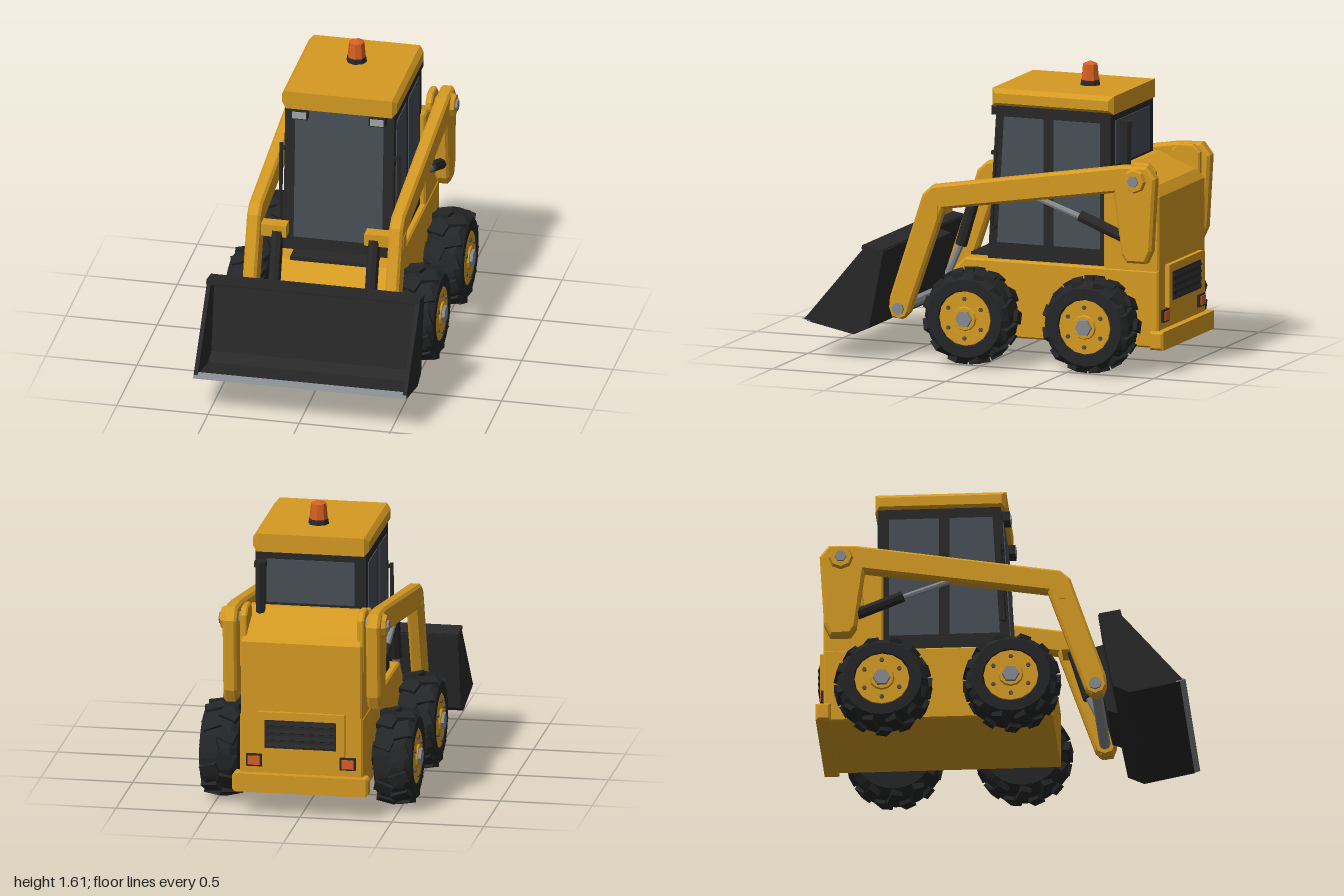
import * as THREE from 'three';

const mat = (name, color) => {
  const m = new THREE.MeshStandardMaterial({ color });
  m.name = name;
  return m;
};

export function createModel() {
  const yellow = mat('yellow paint', 0xd59a22);
  const black = mat('black metal', 0x282828);
  const rubber = mat('tyre rubber', 0x242526);
  const glass = mat('tinted glass', 0x474f56);
  const steel = mat('steel', 0x868b90);
  const lamp = mat('pale lamp', 0xa3a8ac);
  const orange = mat('orange lens', 0xd65f22);
  const bolt = mat('dark bolt', 0x55524a);

  const model = new THREE.Group();
  model.name = 'workVehicle';

  // Facet every face for the low-poly look
  const flat = (g) => {
    const f = g.index ? g.toNonIndexed() : g;
    f.computeVertexNormals();
    return f;
  };
  const add = (name, geo, material, parent = model) => {
    const m = new THREE.Mesh(flat(geo), material);
    m.name = name;
    parent.add(m);
    return m;
  };
  // Box given by its centre and size
  const box = (name, material, [x, y, z], [w, h, d]) => {
    const m = add(name, new THREE.BoxGeometry(w, h, d), material);
    m.position.set(x, y, z);
    return m;
  };
  // Side profile of (z, y) points, extruded across x and centred on x
  const slab = (name, material, pts, x, width, bevel = 0) => {
    const shape = new THREE.Shape(pts.map(([z, y]) => new THREE.Vector2(z, y)));
    const g = new THREE.ExtrudeGeometry(shape, {
      depth: width - 2 * bevel, bevelEnabled: bevel > 0, bevelSegments: 1,
      bevelSize: bevel, bevelThickness: bevel, bevelOffset: -bevel,
    });
    g.translate(0, 0, bevel - width / 2);
    g.rotateY(-Math.PI / 2);
    add(name, g, material).position.x = x;
  };
  // Round bar between two points
  const rod = (name, material, a, b, r, sides = 8, r2 = r, parent = model) => {
    const p = new THREE.Vector3(...a), q = new THREE.Vector3(...b);
    const dir = q.clone().sub(p);
    const m = add(name, new THREE.CylinderGeometry(r2, r, dir.length(), sides), material, parent);
    m.position.copy(p).add(q).multiplyScalar(0.5);
    m.quaternion.setFromUnitVectors(new THREE.Vector3(0, 1, 0), dir.normalize());
  };

  // Chassis, engine hood and rear bumper
  slab('chassis', yellow, [[0.27, 0.13], [0.27, 0.44], [0.16, 0.55], [-0.96, 0.55], [-0.96, 0.13]], 0, 0.67, 0.01);
  slab('engineHood', yellow, [[-0.64, 0.53], [-0.64, 1.08], [-0.7, 1.08], [-0.92, 1.0],
    [-0.96, 0.95], [-0.96, 0.53]], 0, 0.66, 0.01);
  slab('rearBumper', yellow, [[-0.92, 0.125], [-0.92, 0.225], [-1, 0.225], [-1, 0.125]], 0, 0.74, 0.012);
  box('frontStep', black, [0, 0.555, 0.112], [0.47, 0.02, 0.105]);

  // Rear grille and tail lamps
  box('grilleFrame', yellow, [0, 0.455, -0.97], [0.48, 0.23, 0.03]);
  box('grillePanel', black, [0, 0.45, -0.986], [0.39, 0.155, 0.008]);
  for (let i = 0; i < 4; i++) {
    const slat = box('grilleSlat', black, [0, 0.392 + i * 0.039, -0.99], [0.38, 0.022, 0.012]);
    slat.rotation.x = 0.4;
  }
  for (const s of [-1, 1]) {
    box('tailLampHousing', black, [s * 0.255, 0.297, -0.965], [0.085, 0.068, 0.02]);
    box('tailLamp', orange, [s * 0.255, 0.297, -0.977], [0.065, 0.05, 0.008]);
  }

  // Cab frame and windows
  slab('cabFrame', black, [[0.04, 0.545], [-0.01, 1.385], [-0.67, 1.385], [-0.67, 0.545]], 0, 0.6);
  const windshield = box('windshield', glass, [0, 0.995, 0.0155], [0.485, 0.74, 0.008]);
  windshield.rotation.x = -0.0595;
  box('rearWindow', glass, [0, 1.215, -0.672], [0.48, 0.24, 0.008]);
  for (const s of [-1, 1]) {
    slab('frontSideWindow', glass, [[-0.015, 0.64], [-0.055, 1.325], [-0.285, 1.325], [-0.285, 0.64]], s * 0.301, 0.008);
    slab('rearSideWindow', glass, [[-0.342, 0.64], [-0.342, 1.325], [-0.61, 1.325], [-0.61, 0.64]], s * 0.301, 0.008);
    // Grab rails and work lamps
    rod('grabRail', black, [s * 0.322, 0.7, 0.01], [s * 0.322, 1.15, -0.015], 0.011, 6);
    for (const y of [0.72, 1.13]) box('railMount', black, [s * 0.31, y, 0], [0.035, 0.02, 0.02]);
    box('workLampHousing', black, [s * 0.213, 1.349, 0.012], [0.09, 0.052, 0.046]);
    box('workLamp', lamp, [s * 0.213, 1.349, 0.037], [0.075, 0.038, 0.006]);
  }

  // Roof with chamfered edges
  slab('roof', yellow, [[0.018, 1.375], [0.018, 1.475], [-0.685, 1.475], [-0.685, 1.375]], 0, 0.63, 0.024);

  // Beacon and exhaust
  rod('beaconBase', black, [0, 1.47, -0.43], [0, 1.503, -0.43], 0.057, 8, 0.052);
  rod('beaconLens', orange, [0, 1.503, -0.43], [0, 1.588, -0.43], 0.05, 8, 0.042);
  rod('beaconTop', orange, [0, 1.588, -0.43], [0, 1.603, -0.43], 0.042, 8, 0.008);
  rod('exhaustPipe', black, [0.26, 1.03, -0.745], [0.26, 1.315, -0.745], 0.027, 6);
  rod('exhaustCap', black, [0.26, 1.31, -0.745], [0.26, 1.342, -0.745], 0.036, 6);

  // Lift arms, pivots and cylinders
  const armProfile = [[0.565, 0.265], [0.56, 0.32], [0.37, 0.895], [0.315, 0.945], [-0.78, 1.125],
    [-0.925, 1.13], [-0.975, 1.065], [-0.952, 0.67], [-0.92, 0.6], [-0.81, 0.6], [-0.78, 0.645],
    [-0.735, 0.975], [0.25, 0.82], [0.45, 0.24], [0.485, 0.205], [0.545, 0.21]];
  const towerProfile = [[-0.74, 0.8], [-0.775, 1.09], [-0.81, 1.13], [-0.9, 1.13], [-0.94, 1.09], [-0.94, 0.8]];
  for (const s of [-1, 1]) {
    slab('liftArm', yellow, armProfile, s * 0.39, 0.075, 0.014);
    slab('pivotTower', yellow, towerProfile, s * 0.318, 0.038, 0.008);
    rod('pivotShaft', steel, [s * 0.3, 1.05, -0.86], [s * 0.4, 1.05, -0.86], 0.04);
    rod('pivotHub', yellow, [s * 0.42, 1.05, -0.86], [s * 0.45, 1.05, -0.86], 0.07, 8, 0.058);
    rod('pivotBolt', steel, [s * 0.44, 1.05, -0.86], [s * 0.462, 1.05, -0.86], 0.032, 6);
    rod('liftRod', steel, [s * 0.385, 0.92, -0.26], [s * 0.385, 0.815, -0.56], 0.017);
    rod('liftBarrel', black, [s * 0.385, 0.832, -0.53], [s * 0.385, 0.735, -0.775], 0.032);

    // Bucket tilt cylinder with its bracket, and the arm foot
    box('tiltBracket', yellow, [s * 0.322, 0.805, 0.318], [0.215, 0.068, 0.075]);
    rod('tiltBarrel', black, [s * 0.265, 0.8, 0.335], [s * 0.265, 0.5, 0.425], 0.034);
    rod('tiltRod', steel, [s * 0.265, 0.53, 0.415], [s * 0.265, 0.34, 0.5], 0.02);
    rod('armFootHub', yellow, [s * 0.34, 0.263, 0.505], [s * 0.43, 0.263, 0.505], 0.052);
    rod('armFootPin', steel, [s * 0.42, 0.263, 0.505], [s * 0.444, 0.263, 0.505], 0.034);
  }

  // Bucket: coupler, shell, cutting edge, end plates and top lip
  rod('couplerShaft', steel, [-0.43, 0.263, 0.505], [0.43, 0.263, 0.505], 0.03);
  slab('couplerPlate', black, [[0.535, 0.59], [0.465, 0.57], [0.555, 0.2], [0.615, 0.18]], 0, 0.44);
  slab('bucketShell', black, [[0.65, 0.62], [0.53, 0.598], [0.612, 0.175], [0.7, 0.135], [0.97, 0.19],
    [0.96, 0.213], [0.71, 0.165], [0.635, 0.195], [0.562, 0.578], [0.65, 0.594]], 0, 1.165);
  slab('cuttingEdge', steel, [[1, 0.203], [0.95, 0.186], [0.945, 0.214], [0.955, 0.222]], 0, 1.167);
  for (const s of [-1, 1]) {
    slab('bucketEnd', black, [[0.64, 0.612], [0.54, 0.596], [0.615, 0.175], [0.7, 0.137], [0.985, 0.202]],
      s * 0.573, 0.022);
  }
  slab('bucketTopLip', black, [[0.655, 0.605], [0.65, 0.625], [0.535, 0.605], [0.54, 0.585]], 0, 1.172);

  // Wheels: tyre, staggered lugs, rim and bolts (built with the outside on +x)
  const tyreProfile = [[0, 0], [0.21, 0], [0.243, 0.035], [0.243, 0.17], [0.212, 0.205], [0.152, 0.205],
    [0.147, 0.19], [0, 0.19]].map(([r, h]) => new THREE.Vector2(r, h));
  const makeWheel = () => {
    const w = new THREE.Group();
    w.name = 'wheel';
    const tyre = new THREE.LatheGeometry(tyreProfile, 24);
    tyre.rotateZ(-Math.PI / 2);
    tyre.translate(-0.1, 0, 0);
    add('tyre', tyre, rubber, w);
    for (let i = 0; i < 24; i++) {
      const side = i % 2 ? 1 : -1;
      const g = new THREE.BoxGeometry(0.098, 0.036, 0.062);
      // Drop the outer shoulder of each lug
      const p = g.attributes.position;
      for (let k = 0; k < p.count; k++) {
        if (p.getX(k) * side > 0) p.setY(k, p.getY(k) - 0.014);
      }
      g.rotateY(side * 0.35);
      g.translate(side * 0.045, 0.245, 0);
      g.rotateX((i / 24) * Math.PI * 2);
      add('treadLug', g, rubber, w);
    }
    rod('rim', yellow, [0.05, 0, 0], [0.102, 0, 0], 0.147, 16, 0.147, w);
    rod('hub', yellow, [0.1, 0, 0], [0.112, 0, 0], 0.068, 12, 0.062, w);
    rod('hubNut', steel, [0.1, 0, 0], [0.128, 0, 0], 0.05, 6, 0.046, w);
    for (let i = 0; i < 6; i++) {
      const a = (i / 6) * Math.PI * 2 + Math.PI / 6;
      const y = Math.sin(a) * 0.108, z = Math.cos(a) * 0.108;
      rod('wheelBolt', bolt, [0.1, y, z], [0.112, y, z], 0.012, 6, 0.012, w);
    }
    return w;
  };
  for (const z of [0.062, -0.63]) {
    rod('axle', black, [-0.48, 0.265, z], [0.48, 0.265, z], 0.07);
    for (const s of [-1, 1]) {
      const w = makeWheel();
      w.position.set(s * 0.472, 0.263, z);
      if (s < 0) w.rotation.y = Math.PI;
      model.add(w);
    }
  }
  return model;
}
